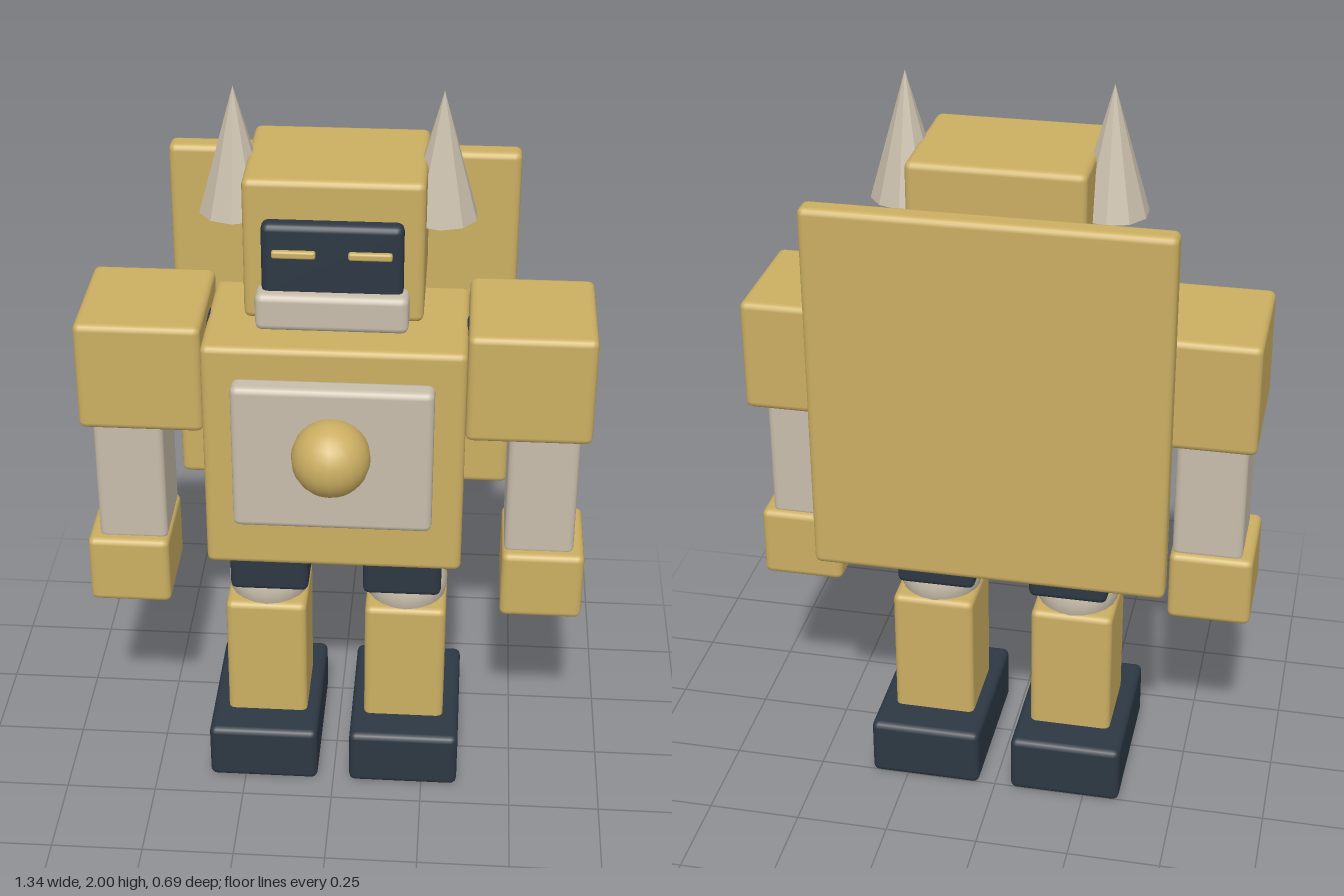
import * as THREE from 'three';
import { RoundedBoxGeometry } from 'three/addons/geometries/RoundedBoxGeometry.js';

const gold = new THREE.MeshStandardMaterial({ color: 0xcbae62 });
const stone = new THREE.MeshStandardMaterial({ color: 0xc8bdab });
const dark = new THREE.MeshStandardMaterial({ color: 0x2d3843 });
const horn = new THREE.MeshStandardMaterial({ color: 0xc8bdab, flatShading: true });

export function createModel() {
  const model = new THREE.Group();
  model.name = 'robot';

  const add = (name, geometry, material, x, y, z, parent = model) => {
    const mesh = new THREE.Mesh(geometry, material);
    mesh.name = name;
    mesh.position.set(x, y, z);
    parent.add(mesh);
    return mesh;
  };

  // Soft-edged block given by its [min, max] range on each axis
  const block = (name, material, [x0, x1], [y0, y1], [z0, z1], parent = model, bevel = 0.018) => {
    const w = x1 - x0, h = y1 - y0, d = z1 - z0;
    const r = Math.min(bevel, Math.min(w, h, d) * 0.45);
    return add(name, new RoundedBoxGeometry(w, h, d, 2, r), material,
      (x0 + x1) / 2, (y0 + y1) / 2, (z0 + z1) / 2, parent);
  };

  const ball = (name, material, r, x, y, z, parent = model) =>
    add(name, new THREE.SphereGeometry(r, 20, 14), material, x, y, z, parent);

  // Body
  block('torso', gold, [-0.34, 0.34], [0.72, 1.375], [-0.238, 0.154]);
  block('chestPlate', stone, [-0.26, 0.26], [0.875, 1.29], [0.145, 0.21]);
  ball('chestOrb', gold, 0.102, 0, 1.115, 0.24);
  block('backBoard', gold, [-0.463, 0.463], [0.735, 1.74], [-0.343, -0.277]);

  // Head
  block('neck', dark, [-0.075, 0.075], [1.385, 1.5], [-0.116, 0.034]);
  block('head', gold, [-0.225, 0.225], [1.455, 1.83], [-0.222, 0.14]);
  block('facePlate', dark, [-0.175, 0.175], [1.543, 1.735], [0.138, 0.188]);
  block('jaw', stone, [-0.19, 0.19], [1.46, 1.558], [0.138, 0.217]);

  // Paired parts
  for (const side of [1, -1]) {
    const range = (a, b) => (side > 0 ? [a, b] : [-b, -a]);
    const prefix = side > 0 ? 'left' : 'right';
    const group = (name) => {
      const g = new THREE.Group();
      g.name = prefix + name;
      model.add(g);
      return g;
    };

    block(prefix + 'Eye', gold, range(0.04, 0.148), [1.65, 1.67], [0.18, 0.2], model, 0.006);
    add(prefix + 'Horn', new THREE.ConeGeometry(0.094, 0.33, 10), horn, side * 0.26, 1.835, -0.043);

    const arm = group('Arm');
    ball('shoulderJoint', dark, 0.14, side * 0.38, 1.238, -0.042, arm);
    block('shoulder', gold, range(0.34, 0.667), [1.112, 1.415], [-0.222, 0.135], arm);
    block('forearm', stone, range(0.455, 0.641), [0.74, 1.115], [-0.13, 0.087], arm);
    block('hand', gold, range(0.45, 0.671), [0.553, 0.752], [-0.146, 0.116], arm);

    const leg = group('Leg');
    block('thigh', dark, range(0.075, 0.289), [0.58, 0.78], [-0.163, 0.078], leg);
    ball('knee', stone, 0.113, side * 0.192, 0.56, -0.042, leg);
    block('shin', gold, range(0.081, 0.305), [0.15, 0.53], [-0.157, 0.074], leg);
    block('foot', dark, range(0.045, 0.35), [0, 0.166], [-0.261, 0.177], leg);
  }

  return model;
}
